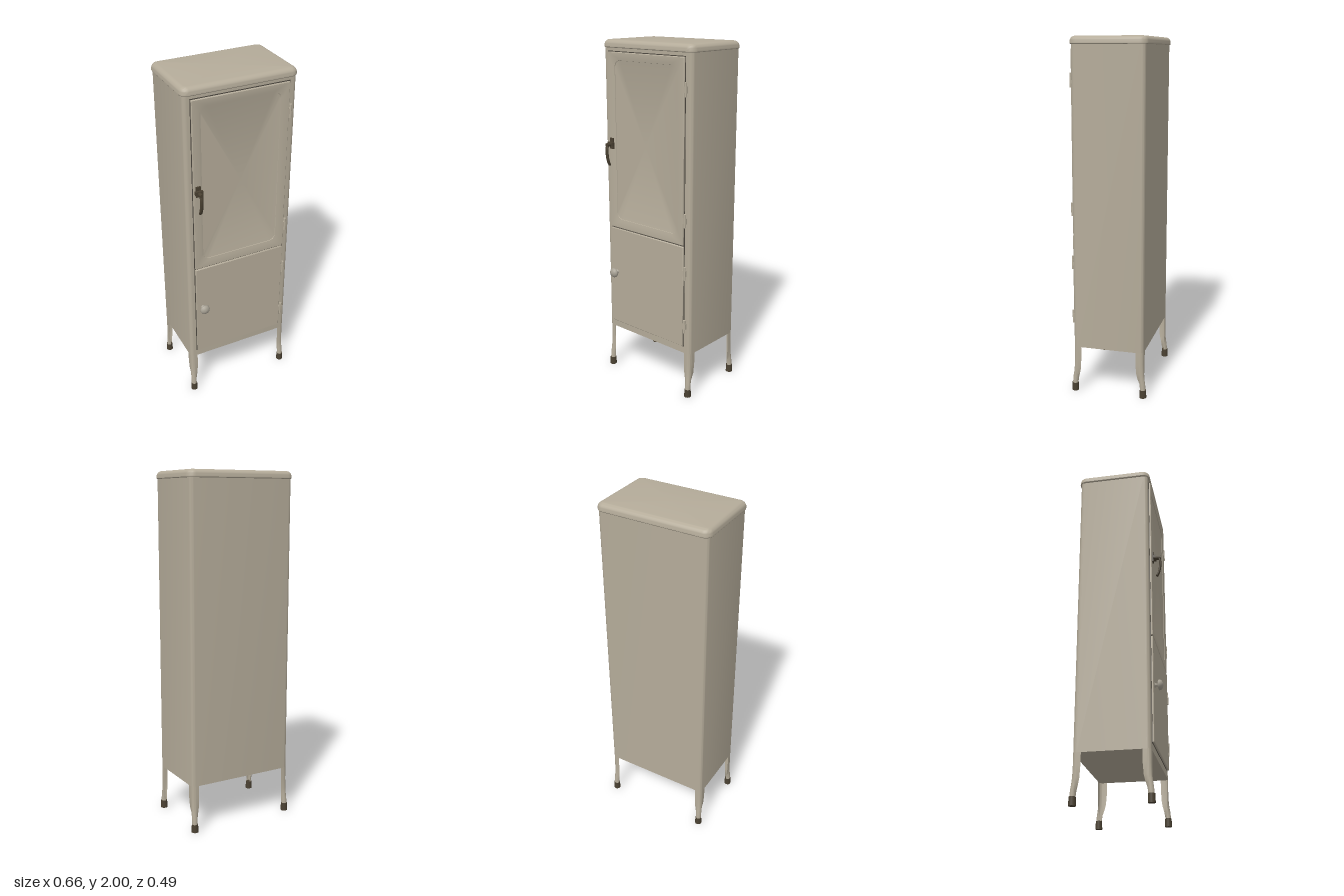
import * as THREE from 'three';
import { toCreasedNormals } from 'three/addons/utils/BufferGeometryUtils.js';

const V = (x, y, z) => new THREE.Vector3(x, y, z);

// Skin between equal-length rings; optional closed loop and end caps.
function loft(rings, { closed = true, capStart = false, capEnd = false, crease = 0.6 } = {}) {
  const n = rings[0].length, pos = [], idx = [];
  rings.flat().forEach(p => pos.push(p.x, p.y, p.z));
  for (let i = 0; i < rings.length - 1; i++) {
    for (let j = 0; j < (closed ? n : n - 1); j++) {
      const k = (j + 1) % n, a = i * n + j, b = i * n + k;
      idx.push(a, b, b + n, a, b + n, a + n);
    }
  }
  const cap = (r, flip) => {
    const c = rings[r].reduce((s, p) => s.add(p), V(0, 0, 0)).divideScalar(n);
    const m = pos.push(c.x, c.y, c.z) / 3 - 1;
    for (let j = 0; j < n; j++) {
      const a = r * n + j, b = r * n + (j + 1) % n;
      flip ? idx.push(b, a, m) : idx.push(a, b, m);
    }
  };
  if (capStart) cap(0, true);
  if (capEnd) cap(rings.length - 1, false);
  const g = new THREE.BufferGeometry();
  g.setAttribute('position', new THREE.Float32BufferAttribute(pos, 3));
  g.setIndex(idx);
  return toCreasedNormals(g, crease);
}

// Counter-clockwise rounded rectangle as [u, v] pairs.
function roundRect(u0, u1, v0, v1, r, seg = 6) {
  const out = [];
  [[u1 - r, v1 - r], [u0 + r, v1 - r], [u0 + r, v0 + r], [u1 - r, v0 + r]].forEach(([u, v], q) => {
    for (let i = 0; i <= seg; i++) {
      const a = (q + i / seg) * Math.PI / 2;
      out.push([u + r * Math.cos(a), v + r * Math.sin(a)]);
    }
  });
  return out;
}
const flatRing = (x, zBack, zFront, r, y) =>
  roundRect(-x, x, -zFront, -zBack, r).map(([u, v]) => V(u, y, -v));
const doorRing = (x0, x1, y0, y1, r, z) =>
  roundRect(x0, x1, y0, y1, r).map(([u, v]) => V(u, v, z));

export function createModel() {
  const mat = (name, color) => Object.assign(new THREE.MeshStandardMaterial({ color }), { name });
  const enamel = mat('enamel', 0xb5ac9a);
  enamel.side = THREE.DoubleSide;
  const dark = mat('darkBrown', 0x4a4132);
  const metal = mat('knobMetal', 0xa8a295);
  const gap = mat('doorGap', 0x4f4a42);

  const model = new THREE.Group();
  model.name = 'cabinet';
  const add = (name, geo, m, x = 0, y = 0, z = 0, parent = model) => {
    const mesh = new THREE.Mesh(geo, m);
    mesh.name = name;
    mesh.position.set(x, y, z);
    parent.add(mesh);
    return mesh;
  };
  const FRONT = 0.182, BACK = -0.225, SIDE = 0.32;

  // Cabinet body with rounded upright corners
  add('body', loft([flatRing(SIDE, BACK, FRONT, 0.022, 0.27), flatRing(SIDE, BACK, FRONT, 0.022, 1.96)],
    { capStart: true, capEnd: true }), enamel);

  // Lid with a rolled top edge
  const lidRings = [[0.014, 1.957], [0.003, 1.957], [0, 1.961], [0, 1.97]];
  for (let i = 1; i <= 6; i++) {
    const a = i / 6 * Math.PI / 2;
    lidRings.push([0.03 * (1 - Math.cos(a)), 1.97 + 0.03 * Math.sin(a)]);
  }
  add('lid', loft(lidRings.map(([s, y]) =>
    flatRing(0.329 - s, -0.235 + s, 0.192 - s, 0.042 - s, y)), { capStart: true, capEnd: true }), enamel);

  // Dark shadow gaps behind the doors
  add('upperDoorGap', new THREE.BoxGeometry(0.563, 1.023, 0.004), gap, -0.0025, 1.428, FRONT);
  add('lowerDoorGap', new THREE.BoxGeometry(0.563, 0.608, 0.004), gap, -0.0025, 0.614, FRONT);

  // Upper door: pressed frame around a recessed rounded panel
  add('upperDoor', loft([
    doorRing(-0.28, 0.275, 0.921, 1.935, 0.003, 0.18),
    doorRing(-0.28, 0.275, 0.921, 1.935, 0.003, 0.191),
    doorRing(-0.277, 0.272, 0.924, 1.932, 0.003, 0.194),
    doorRing(-0.243, 0.238, 0.962, 1.903, 0.04, 0.194),
    doorRing(-0.23, 0.225, 0.975, 1.89, 0.038, 0.19),
    doorRing(-0.229, 0.224, 0.976, 1.889, 0.037, 0.187),
  ], { capEnd: true, crease: 0.4 }), enamel);

  // Lower door: plain sheet
  add('lowerDoor', loft([
    doorRing(-0.28, 0.275, 0.314, 0.914, 0.003, 0.18),
    doorRing(-0.28, 0.275, 0.314, 0.914, 0.003, 0.191),
    doorRing(-0.277, 0.272, 0.317, 0.911, 0.003, 0.194),
  ], { capEnd: true }), enamel);

  // Hinges on the model's left side
  for (const y of [1.77, 1.065, 0.76, 0.44]) {
    const hinge = new THREE.Group();
    hinge.name = 'hinge';
    hinge.position.set(0.285, y, 0.188);
    model.add(hinge);
    add('hingeBarrel', new THREE.CylinderGeometry(0.007, 0.007, 0.076, 12), enamel, 0, 0, 0.003, hinge);
    add('hingeLeaf', new THREE.BoxGeometry(0.026, 0.034, 0.014), enamel, -0.004, 0, 0, hinge);
  }

  // Legs: angle section at the top closing into a flared tube at the foot
  const N = 12;
  const angleSection = [[0.042, 0], [0.032, 0], [0.022, 0]];
  for (let i = 1; i < 7; i++) {
    const a = i / 7 * Math.PI / 2;
    angleSection.push([0.022 * (1 - Math.sin(a)), 0.022 * (1 - Math.cos(a))]);
  }
  angleSection.push([0, 0.022], [0, 0.032], [0, 0.045]);
  const tubeSection = angleSection.map((_, i) => {
    const a = (15 - 300 * i / (N - 1)) * Math.PI / 180;
    return [0.015 + 0.016 * Math.cos(a), 0.004 + 0.016 * Math.sin(a)];
  });
  const stations = [[0.272, 0], [0.2, 0.04], [0.14, 0.2], [0.11, 0.45], [0.08, 0.8], [0.05, 1], [0.03, 1]];
  for (const sx of [-1, 1]) for (const sz of [-1, 1]) {
    const z0 = sz > 0 ? FRONT : BACK;
    const rings = stations.map(([y, t]) => angleSection.map(([p, q], i) => {
      const [p2, q2] = tubeSection[i];
      return V(sx * (SIDE - p - (p2 - p) * t), y, z0 - sz * (q + (q2 - q) * t));
    }));
    add('leg', loft(rings, { closed: false }), enamel);
    add('foot', new THREE.CylinderGeometry(0.018, 0.02, 0.046, 16), dark, sx * 0.305, 0.023, z0 - sz * 0.003);
  }

  // Lever handle on the upper door
  const handle = new THREE.Group();
  handle.name = 'handle';
  handle.position.set(-0.255, 1.42, 0.19);
  model.add(handle);
  add('handlePlate', new THREE.BoxGeometry(0.026, 0.062, 0.014), dark, 0, 0.002, 0.005, handle);
  add('handleStem', new THREE.CylinderGeometry(0.011, 0.011, 0.046, 14), dark, 0, -0.002, 0.029, handle)
    .rotation.x = Math.PI / 2;
  add('handleLatch', new THREE.BoxGeometry(0.044, 0.022, 0.014), dark, 0, 0, 0.018, handle);
  const curve = new THREE.CatmullRomCurve3([
    V(0, 0, 0.043), V(0, -0.03, 0.05), V(0, -0.07, 0.047), V(0, -0.1, 0.04), V(0, -0.118, 0.031)]);
  const lever = new THREE.TubeGeometry(curve, 20, 0.0065, 10);
  lever.scale(1.6, 1, 1);
  add('handleLever', lever, dark, 0, 0, 0, handle);
  const tip = add('handleTip', new THREE.SphereGeometry(0.0065, 12, 8), dark, 0, -0.118, 0.031, handle);
  tip.scale.x = 1.6;

  // Mushroom knob on the lower door
  const knobProfile = [[0.014, 0], [0.014, 0.004], [0.008, 0.006], [0.008, 0.018], [0.024, 0.021],
    [0.029, 0.026], [0.028, 0.033], [0.022, 0.041], [0.012, 0.046], [0, 0.048]];
  const knob = new THREE.LatheGeometry(knobProfile.map(([r, y]) => new THREE.Vector2(r, y)), 24);
  knob.rotateX(Math.PI / 2);
  add('knob', knob, metal, -0.24, 0.64, 0.192);

  return model;
}
